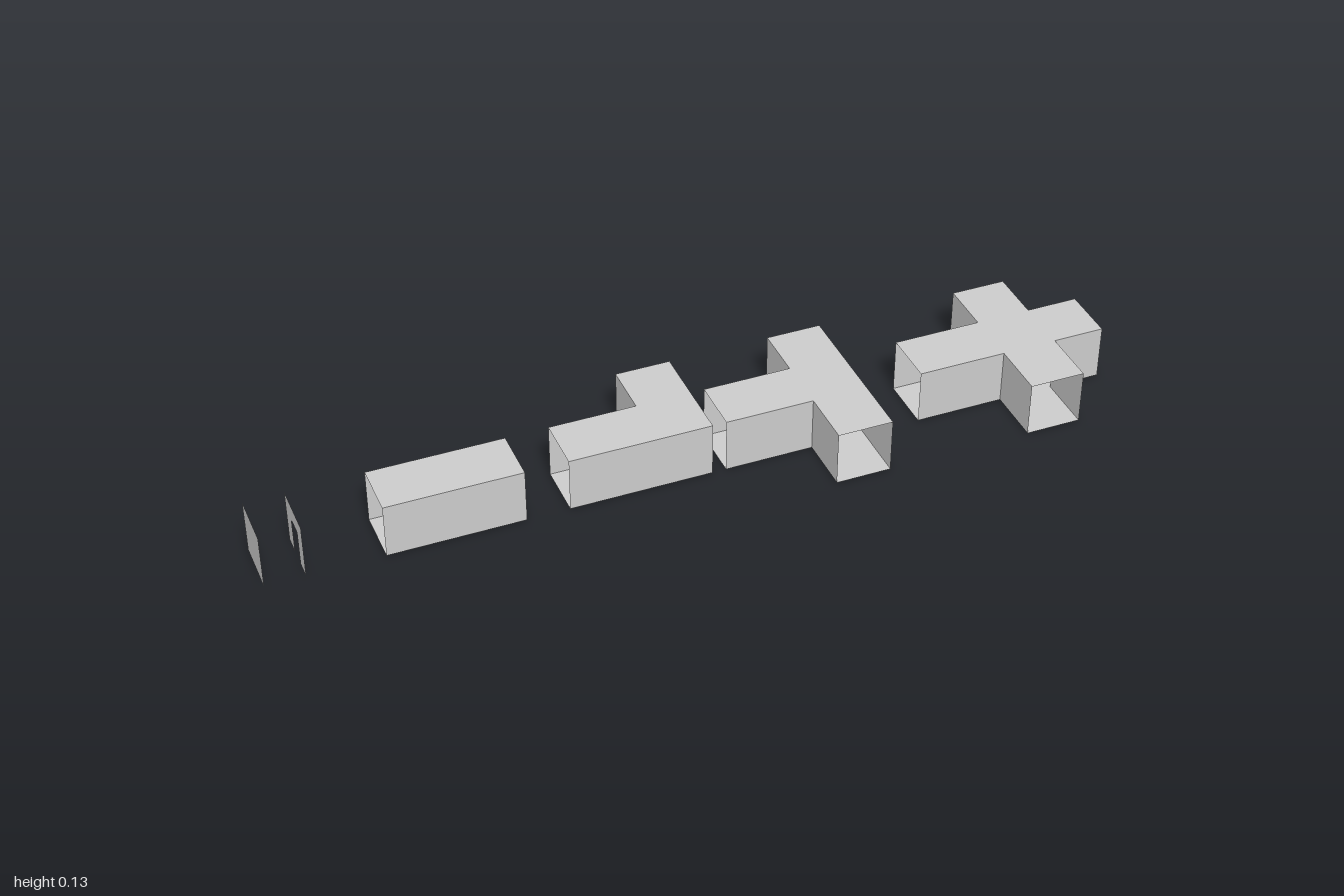
import * as THREE from 'three';
import { mergeGeometries } from 'three/addons/utils/BufferGeometryUtils.js';

const H = 0.132;             // corridor height
const F = 0.061, B = -0.07;  // front and back walls of the main run
const ARM = 0.198;           // reach of the side arms along z
const OPEN = true;           // marks an outline edge left without a wall

const material = new THREE.MeshStandardMaterial({
  color: 0xcccccc, flatShading: true, side: THREE.DoubleSide,
});

// Hollow tile: floor, ceiling and a wall on every edge not marked open.
// The outline lists [x, z, open], counterclockwise seen from above.
function corridor(name, outline) {
  const slab = (sign) => new THREE.ShapeGeometry(
    new THREE.Shape(outline.map(([x, z]) => new THREE.Vector2(x, sign * z))));
  const parts = [
    slab(-1).rotateX(-Math.PI / 2).translate(0, H, 0),
    slab(1).rotateX(Math.PI / 2),
  ];
  outline.forEach(([x, z, open], i) => {
    if (open) return;
    const [x2, z2] = outline[(i + 1) % outline.length];
    parts.push(new THREE.PlaneGeometry(Math.hypot(x2 - x, z2 - z), H)
      .rotateY(Math.atan2(z - z2, x2 - x))
      .translate((x + x2) / 2, H / 2, (z + z2) / 2));
  });
  const mesh = new THREE.Mesh(mergeGeometries(parts), material);
  mesh.name = name;
  return mesh;
}

// Flat upright panel across the corridor, facing +x
function panel(name, x, doorWidth = 0, doorHeight = 0) {
  const w = (F - B) / 2, d = doorWidth / 2;
  const points = [[-w, 0], [-w, H], [w, H], [w, 0]];
  if (d) points.push([d, 0], [d, doorHeight], [-d, doorHeight], [-d, 0]);
  const shape = new THREE.Shape(points.map(([a, b]) => new THREE.Vector2(a, b)));
  const geometry = new THREE.ShapeGeometry(shape)
    .rotateY(Math.PI / 2).translate(x, 0, (F + B) / 2);
  const mesh = new THREE.Mesh(geometry, material);
  mesh.name = name;
  return mesh;
}

export function createModel() {
  const group = new THREE.Group();
  group.name = 'corridorKit';
  group.add(
    panel('endWall', -1),
    panel('doorway', -0.908, 0.045, 0.088),

    corridor('straightCorridor', [
      [-0.73, F], [-0.41, F, OPEN], [-0.41, B], [-0.73, B, OPEN],
    ]),

    // Turns from -x towards -z
    corridor('cornerCorridor', [
      [-0.31, F], [0.028, F], [0.028, -ARM, OPEN], [-0.103, -ARM],
      [-0.103, B], [-0.31, B, OPEN],
    ]),

    // Closed on the +x side
    corridor('teeCorridor', [
      [0.06, F], [0.27, F], [0.27, ARM, OPEN], [0.401, ARM],
      [0.401, -ARM, OPEN], [0.27, -ARM], [0.27, B], [0.06, B, OPEN],
    ]),

    // Open at all four ends
    corridor('crossCorridor', [
      [0.536, F], [0.746, F], [0.746, ARM, OPEN], [0.877, ARM],
      [0.877, F], [1, F, OPEN], [1, B], [0.877, B],
      [0.877, -ARM, OPEN], [0.746, -ARM], [0.746, B], [0.536, B, OPEN],
    ]),
  );
  return group;
}
